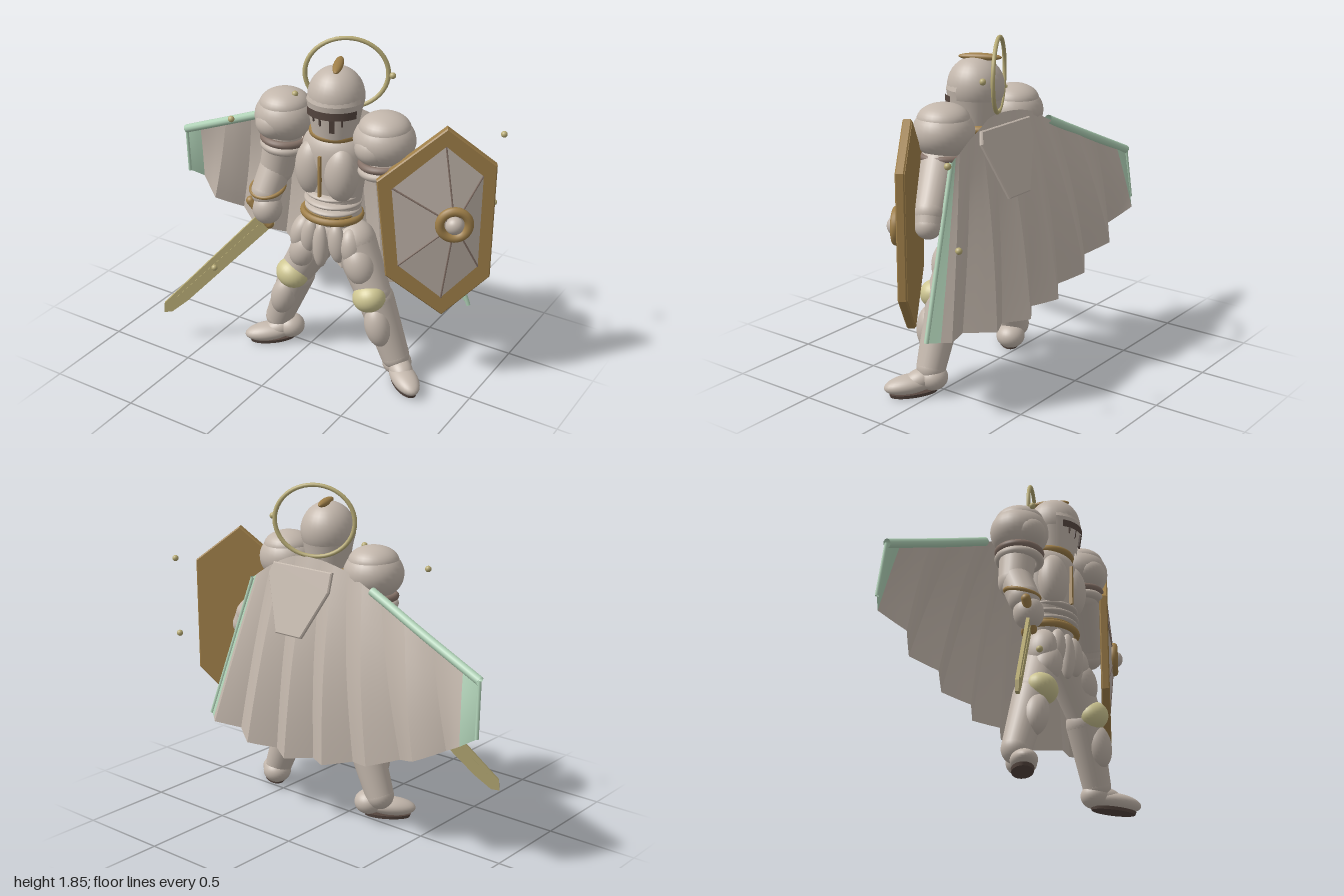
import * as THREE from 'three';

const mat = (name, color) => Object.assign(new THREE.MeshStandardMaterial({ color }), { name });
const twoSided = (m) => { m.side = THREE.DoubleSide; return m; };
const V = (a) => new THREE.Vector3(...a);

export function createModel() {
  const steel = mat('warm steel', 0xc3b7ac);
  const cloth = twoSided(mat('cape cloth', 0xc4b8ad));
  const panel = twoSided(mat('shield panel', 0xbbafa5));
  const gold = mat('dark gold', 0x9f7f49);
  const brass = mat('pale brass', 0xb8ac76);
  const knee = mat('pale yellow', 0xcec692);
  const green = twoSided(mat('soft green', 0xb1d3b8));
  const dark = mat('dark brown', 0x55463f);
  const strap = mat('strap brown', 0x857268);

  const root = new THREE.Group();
  root.name = 'caped knight';
  const add = (name, geo, m, pos = [0, 0, 0], rot = [0, 0, 0], parent = root) => {
    const mesh = new THREE.Mesh(geo, m);
    mesh.name = name;
    mesh.position.set(...pos);
    mesh.rotation.set(...rot);
    parent.add(mesh);
    return mesh;
  };
  const ball = (name, m, pos, r, rot, parent) => {
    const mesh = add(name, new THREE.SphereGeometry(1, 28, 20), m, pos, rot, parent);
    mesh.scale.set(...r);
    return mesh;
  };
  const ring = (name, m, pos, r, tube, flat = 1, rot = [Math.PI / 2, 0, 0], parent = root) => {
    const mesh = add(name, new THREE.TorusGeometry(r, tube, 12, 48), m, pos, rot, parent);
    mesh.scale.y = flat;
    return mesh;
  };
  // tapered limb with round ends
  const limb = (name, m, a, b, r1, r2) => {
    const g = new THREE.Group(), p = V(a), q = V(b);
    g.name = name;
    const d = q.clone().sub(p);
    const c = add(name + 'Shaft', new THREE.CylinderGeometry(r2, r1, d.length(), 24, 1, true), m,
      p.clone().lerp(q, 0.5).toArray(), [0, 0, 0], g);
    c.quaternion.setFromUnitVectors(new THREE.Vector3(0, 1, 0), d.normalize());
    ball(name + 'Start', m, a, [r1, r1, r1], [0, 0, 0], g);
    ball(name + 'End', m, b, [r2, r2, r2], [0, 0, 0], g);
    root.add(g);
  };
  const shapeOf = (pts) => new THREE.Shape(pts.map((p) => new THREE.Vector2(...p)));

  // Helmet, turned slightly to its left
  const head = new THREE.Group();
  head.name = 'helmet';
  head.position.set(0.17, 1.575, 0.03);
  head.rotation.y = 0.3;
  root.add(head);
  const band = (name, m, rTop, rLow, h, y, arc) =>
    add(name, new THREE.CylinderGeometry(rTop, rLow, h, 28, 1, true, -arc, 2 * arc), m, [0, y, 0], [0, 0, 0], head);
  ball('dome', steel, [0, 0, 0], [0.148, 0.155, 0.15], [0, 0, 0], head);
  add('neckGuard', new THREE.CylinderGeometry(0.145, 0.11, 0.19, 28), steel, [0, -0.11, 0], [0, 0, 0], head);
  band('visor', steel, 0.154, 0.125, 0.18, -0.1, 1.2);
  band('visorBrow', steel, 0.13, 0.154, 0.08, 0.03, 1.2);
  band('eyeSlit', dark, 0.159, 0.158, 0.042, -0.057, 0.95);
  for (const [a, h, w] of [[-0.65, 0.03, 0.006], [-0.35, 0.045, 0.008], [0.1, 0.075, 0.026], [0.45, 0.04, 0.008]])
    add('visorSlot', new THREE.BoxGeometry(w, h, 0.009), dark,
      [Math.sin(a) * 0.147, -0.075 - h / 2, Math.cos(a) * 0.147], [0.15, a, 0, 'YXZ'], head);
  ball('crest', gold, [0.165, 1.728, 0.005], [0.026, 0.02, 0.115], [0, 0.42, 0]);

  // Halo and drifting orbs
  ring('halo', brass, [0.15, 1.645, -0.103], 0.19, 0.011, 1, [0, 0.5, 0]).scale.x = 1.13;
  for (const p of [[-0.34, 1.4, 0.24], [0.38, 1.655, -0.175], [0.922, 1.38, -0.385],
    [0.88, 0.966, -0.412], [-0.415, 0.53, 0.335], [-0.08, 1.525, 0.03]])
    ball('orb', brass, p, [0.017, 0.017, 0.017]);

  // Torso
  const prof = [[0.13, 0.82], [0.155, 0.9], [0.15, 0.97], [0.165, 1.08], [0.18, 1.22], [0.172, 1.31], [0.12, 1.37], [0.02, 1.4]];
  const torso = add('torso', new THREE.LatheGeometry(new THREE.SplineCurve(prof.map((p) => new THREE.Vector2(...p))).getPoints(24), 36),
    steel, [0.152, 0, 0.01]);
  torso.scale.z = 0.78;
  for (const s of [-1, 1]) ball('breastPlate', steel, [0.152 + s * 0.088, 1.17, 0.09], [0.092, 0.155, 0.085]);
  add('chestTrim', new THREE.BoxGeometry(0.013, 0.23, 0.02), gold, [0.15, 1.16, 0.155]);
  ring('collar', gold, [0.155, 1.37, 0.0], 0.122, 0.022);
  for (const [y, r] of [[1.03, 0.155], [0.985, 0.16], [0.945, 0.155]])
    ball('waistPlate', steel, [0.152, y, 0.02], [r, 0.03, 0.145]);
  ring('belt', gold, [0.145, 0.9, 0.02], 0.158, 0.02, 0.85);
  ring('beltEdge', gold, [0.145, 0.925, 0.02], 0.145, 0.01, 0.85);

  // Hips and hanging plates
  ball('hips', steel, [0.15, 0.8, 0.01], [0.17, 0.12, 0.125]);
  ball('centreTasset', steel, [0.142, 0.74, 0.13], [0.045, 0.13, 0.04]);
  for (const s of [-1, 1]) {
    ball('innerTasset', steel, [0.15 + s * 0.085, 0.77, 0.115], [0.05, 0.11, 0.045], [0, 0, s * 0.12]);
    ball('outerTasset', steel, [0.15 + s * 0.155, 0.75, 0.06], [0.07, 0.115, 0.09], [0, 0, s * 0.2]);
  }

  // Shoulders
  for (const x of [-0.15, 0.45]) {
    const s = Math.sign(x);
    ball('pauldron', steel, [x, 1.39, 0.02], [0.162, 0.135, 0.158]);
    ball('pauldronBoss', steel, [x - 0.02, 1.365, 0.095], [0.1, 0.085, 0.09]);
    ball('pauldronCap', steel, [x, 1.455, 0.02], [0.135, 0.083, 0.135]);
    ring('pauldronStrap', strap, [x, 1.265, 0.02], 0.115, 0.02, 1, [Math.PI / 2, s * 0.06, 0]);
    ring('pauldronLame', steel, [x, 1.225, 0.02], 0.11, 0.024, 1, [Math.PI / 2, s * 0.06, 0]);
  }

  // Arms and hands
  limb('rightUpperArm', steel, [-0.16, 1.28, 0.02], [-0.2, 1.07, 0.03], 0.1, 0.092);
  limb('rightForearm', steel, [-0.2, 1.09, 0.03], [-0.22, 0.95, 0.1], 0.088, 0.085);
  ring('rightCuff', gold, [-0.22, 0.975, 0.09], 0.092, 0.011, 1, [1.85, 0, 0]);
  ball('rightFist', steel, [-0.205, 0.865, 0.12], [0.083, 0.09, 0.08]);
  limb('leftUpperArm', steel, [0.48, 1.25, 0.02], [0.67, 1.04, -0.065], 0.1, 0.082);
  limb('leftForearm', steel, [0.67, 1.04, -0.065], [0.7, 0.98, -0.08], 0.08, 0.07);

  // Sword, lying in an upright plane swung forward
  const sword = new THREE.Group();
  sword.name = 'sword';
  sword.position.set(-0.2, 0, 0.12);
  sword.rotation.y = -2.62;
  root.add(sword);
  const su = (p) => [(-0.2 - p[0]) / 0.87, p[1]];
  const blade = shapeOf([[-0.72, 0.19], [-0.715, 0.25], [-0.25, 0.82], [-0.17, 0.77], [-0.6, 0.27], [-0.68, 0.195]].map(su));
  add('blade', new THREE.ExtrudeGeometry(blade, { depth: 0.018, bevelEnabled: false }), brass, [0, 0, -0.009], [0, 0, 0], sword);
  const fuller = shapeOf([[-0.66, 0.285], [-0.24, 0.772], [-0.235, 0.765], [-0.655, 0.277]].map(su));
  add('fuller', new THREE.ExtrudeGeometry(fuller, { depth: 0.024, bevelEnabled: false }), brass, [0, 0, -0.012], [0, 0, 0], sword);
  limb('crossGuard', gold, [-0.285, 0.905, 0.16], [-0.185, 0.775, 0.13], 0.025, 0.025);

  // Legs
  for (const s of [-1, 1]) {
    const X = (d) => 0.185 + s * d, F = (d) => 0.22 + s * d;
    limb('thigh', steel, [X(0.1), 0.76, 0.02], [X(0.24), 0.5, 0.05], 0.118, 0.095);
    ball('thighPlate', steel, [X(0.17), 0.66, 0.08], [0.085, 0.12, 0.085], [0, 0, s * 0.4]);
    ball('kneeGuard', knee, [X(0.243), 0.495, 0.1], [0.093, 0.08, 0.085], [0, 0, s * 0.35]);
    limb('shin', steel, [X(0.25), 0.46, 0.04], [X(0.375), 0.14, 0.035], 0.1, 0.078);
    ball('greave', steel, [X(0.3), 0.335, 0.1], [0.072, 0.12, 0.07], [0, 0, s * 0.25]);
    ball('ankle', steel, [F(0.345), 0.09, 0.02], [0.08, 0.068, 0.08]);
    ball('instep', steel, [F(0.395), 0.085, 0.065], [0.062, 0.055, 0.09], [0.3, s * 0.9, 0, 'YXZ']);
    ball('foot', steel, [F(0.435), 0.063, 0.1], [0.07, 0.05, 0.14], [0.1, s * 0.9, 0, 'YXZ']);
    const sole = add('sole', new THREE.CylinderGeometry(1, 0.96, 0.018, 32), dark, [F(0.425), 0.016, 0.085], [0.05, s * 0.9, 0, 'YXZ']);
    sole.scale.set(0.058, 1, 0.13);
  }

  // Shield: rim, back plate, faceted panel rising to the boss
  const shield = new THREE.Group();
  shield.name = 'shield';
  shield.position.set(0.738, 0, 0);
  shield.rotation.y = 0.545;
  root.add(shield);
  const outer = [[0.045, 1.515], [0.294, 1.32], [0.294, 0.69], [0.06, 0.46], [-0.235, 0.69], [-0.292, 1.23]];
  const centre = [0.03, 0.995];
  const inner = outer.map(([x, y]) => [centre[0] + (x - centre[0]) * 0.78, centre[1] + (y - centre[1]) * 0.83]);
  const rim = shapeOf(outer);
  rim.holes.push(new THREE.Path(inner.map((p) => new THREE.Vector2(...p))));
  const bevel = { depth: 0.034, bevelThickness: 0.006, bevelSize: 0.006, bevelSegments: 1 };
  add('shieldRim', new THREE.ExtrudeGeometry(rim, bevel), gold, [0, 0, -0.017], [0, 0, 0], shield);
  add('shieldBack', new THREE.ExtrudeGeometry(shapeOf(outer), { depth: 0.01, bevelEnabled: false }), gold, [0, 0, -0.025], [0, 0, 0], shield);
  const apex = [0.1, 1.005, 0.05], tri = [];
  inner.forEach((p, i) => tri.push(...apex, ...inner[(i + 1) % 6], 0.008, ...p, 0.008));
  const fan = new THREE.BufferGeometry();
  fan.setAttribute('position', new THREE.Float32BufferAttribute(tri, 3));
  fan.computeVertexNormals();
  add('shieldPanel', fan, panel, [0, 0, 0], [0, 0, 0], shield);
  for (const p of inner)
    add('shieldRib', new THREE.TubeGeometry(new THREE.LineCurve3(V(apex), V([...p, 0.009])), 1, 0.005, 6), strap, [0, 0, 0], [0, 0, 0], shield);
  ring('bossRing', gold, [0.1, 1.005, 0.05], 0.075, 0.024, 1, [0, 0, 0], shield);
  ball('boss', steel, [0.1, 1.005, 0.06], [0.047, 0.047, 0.042], [0, 0, 0], shield);

  // Pleated cape, stretched between a shoulder line and a hem line
  const top = new THREE.CatmullRomCurve3([[-0.975, 1.03, -0.19], [-0.6, 1.19, -0.16], [-0.28, 1.33, -0.13], [-0.08, 1.42, -0.13],
    [0.08, 1.45, -0.13], [0.25, 1.45, -0.13], [0.42, 1.38, -0.14], [0.58, 1.28, -0.13]].map(V));
  const hem = new THREE.CatmullRomCurve3([[-0.99, 0.745, -0.18], [-0.74, 0.6, -0.2], [-0.48, 0.5, -0.215], [-0.2, 0.425, -0.235],
    [0.05, 0.385, -0.245], [0.3, 0.375, -0.245], [0.58, 0.41, -0.225], [0.87, 0.44, -0.165]].map(V));
  const capePoint = (f, v) => {
    const k = (f - 0.038) / 0.152 + 0.5;
    const w = 1 - 2 * Math.abs(k - Math.floor(k) - 0.5);
    const p = top.getPoint(f).lerp(hem.getPoint(f), v);
    p.z -= 0.03 * Math.sin(Math.PI * v) * Math.sin(Math.PI * f) + 0.088 * w * (0.06 + 0.94 * v);
    return p;
  };
  // each pleat face is its own smooth strip, so the folds stay sharp
  const sheet = (name, m, f0, f1) => {
    const cols = 3, rows = 10, pos = [], idx = [];
    for (let i = 0; i <= cols; i++)
      for (let j = 0; j <= rows; j++) {
        pos.push(...capePoint(f0 + (f1 - f0) * i / cols, j / rows).toArray());
        const a = i * (rows + 1) + j, b = a + rows + 1;
        if (i < cols && j < rows) idx.push(a, b, b + 1, a, b + 1, a + 1);
      }
    const g = new THREE.BufferGeometry();
    g.setAttribute('position', new THREE.Float32BufferAttribute(pos, 3));
    g.setIndex(idx);
    g.computeVertexNormals();
    add(name, g, m);
  };
  const folds = Array.from({ length: 13 }, (_, i) => 0.038 + i * 0.076);
  for (let i = 0; i < 12; i++) sheet('capePleat', cloth, folds[i], folds[i + 1]);
  sheet('capePleat', cloth, folds[12], 0.972);
  sheet('capeRightBorder', green, 0, folds[0]);
  sheet('capeLeftBorder', green, 0.972, 1);
  const tube = (name, pts, r) => add(name, new THREE.TubeGeometry(new THREE.CatmullRomCurve3(pts), 24, r, 10), green);
  tube('capeTopRoll', [0, 1, 2, 3, 4, 5].map((i) => top.getPoint(i * 0.06)), 0.024);
  tube('capeLeftEdge', [0, 0.25, 0.5, 0.75, 1].map((v) => capePoint(1, v)), 0.012);
  tube('capeRightEdge', [0, 0.5, 1].map((v) => capePoint(0, v)), 0.01);

  // Mantle flap on the upper back
  const flap = shapeOf([[-0.2, 0], [0.2, 0], [0.22, -0.06], [0.1, -0.36], [-0.07, -0.36], [-0.2, -0.1]]);
  add('mantle', new THREE.ExtrudeGeometry(flap, { ...bevel, depth: 0.012 }), cloth, [0.18, 1.4, -0.17], [0.28, 0, 0]);
  return root;
}
